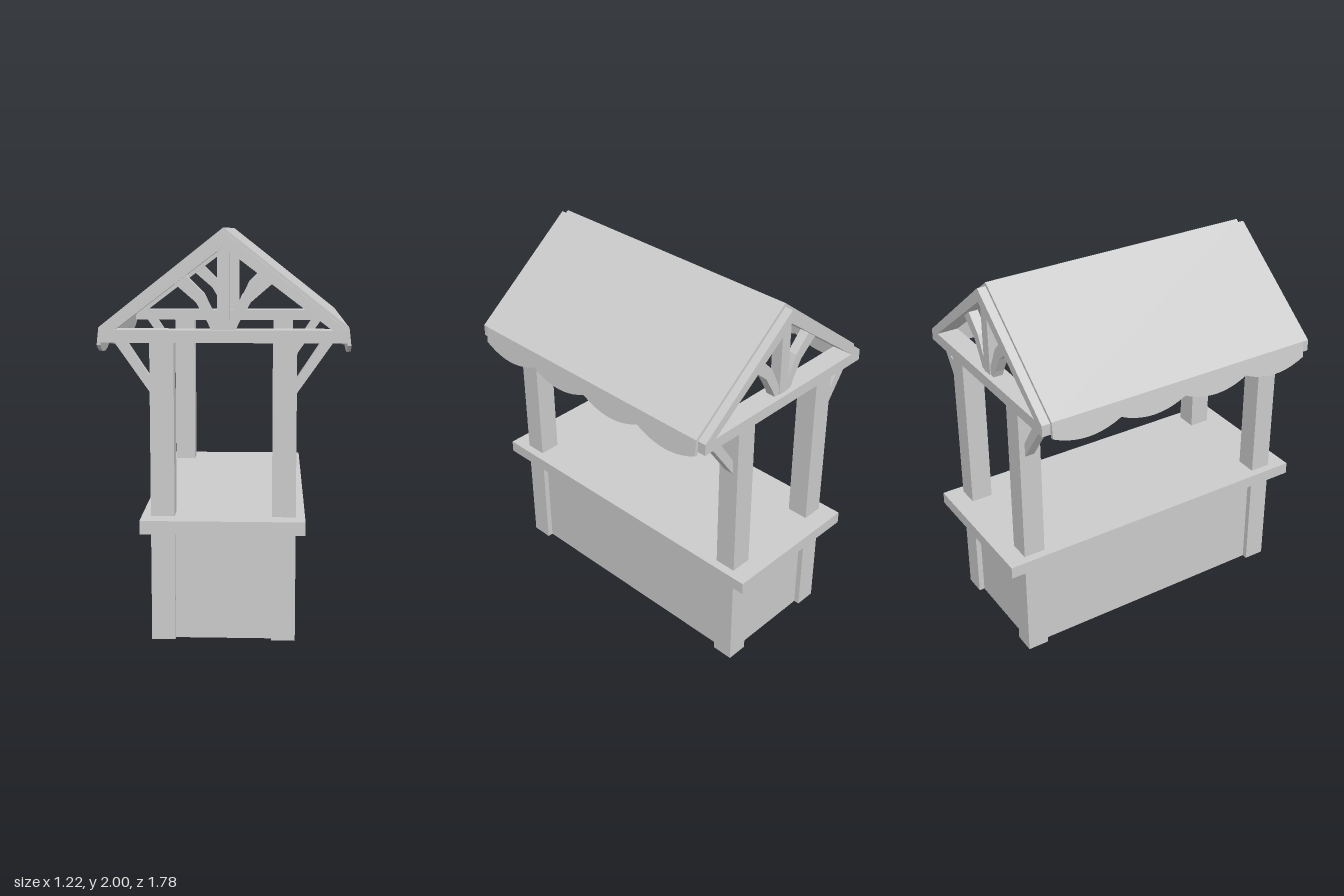
import * as THREE from 'three';

const grey = new THREE.MeshStandardMaterial({ color: 0xcccccc });

function add(parent, name, geometry) {
  const mesh = new THREE.Mesh(geometry, grey);
  mesh.name = name;
  parent.add(mesh);
  return mesh;
}

function box(parent, name, w, h, d, x, y, z) {
  const mesh = add(parent, name, new THREE.BoxGeometry(w, h, d));
  mesh.position.set(x, y, z);
  return mesh;
}

const outline = (points) => new THREE.Shape(points.map(([x, y]) => new THREE.Vector2(x, y)));

// Extrude a front-view outline from z0 to z1
function slab(shape, z0, z1) {
  const g = new THREE.ExtrudeGeometry(shape, { depth: z1 - z0, bevelEnabled: false, curveSegments: 10 });
  return g.translate(0, 0, z0);
}

const mirrored = (points, side) => points.map(([x, y]) => [x * side, y]);

// One gable end: posts, triangular frame, king post, struts and braces
function createGable() {
  const gable = new THREE.Group();

  const frame = outline([[-0.585, 1.46], [0.585, 1.46], [0.585, 1.52], [0, 1.98], [-0.585, 1.52]]);
  frame.holes.push(outline([[-0.515, 1.52], [0, 1.91], [0.515, 1.52]]));
  add(gable, 'gableFrame', slab(frame, 0.675, 0.79));

  box(gable, 'kingPost', 0.06, 0.41, 0.06, 0, 1.715, 0.735);

  const strut = [[0.02, 1.51], [0.055, 1.51], [0.075, 1.555], [0.13, 1.65], [0.24, 1.745],
    [0.185, 1.785], [0.09, 1.69], [0.032, 1.57]];
  const brace = [[0.345, 1.21], [0.52, 1.46], [0.46, 1.46], [0.345, 1.285]];
  for (const side of [-1, 1]) {
    box(gable, 'post', 0.115, 1.46, 0.115, side * 0.2925, 0.73, 0.7325);
    add(gable, 'curvedStrut', slab(outline(mirrored(strut, side)), 0.71, 0.76));
    add(gable, 'cornerBrace', slab(outline(mirrored(brace, side)), 0.71, 0.76));
  }
  return gable;
}

// Scalloped strip hanging from an eave
function createValance() {
  const half = 0.745, count = 4, step = (2 * half) / count;
  const shape = new THREE.Shape();
  shape.moveTo(half, 0);
  shape.lineTo(-half, 0);
  shape.lineTo(-half, -0.085);
  for (let i = 0; i < count; i++) {
    const u = -half + i * step;
    shape.quadraticCurveTo(u + step / 2, -0.175, u + step, -0.085);
  }
  shape.closePath();
  return slab(shape, -0.018, 0).rotateY(Math.PI / 2).rotateZ(0.115).translate(0.597, 1.53, 0);
}

export function createModel() {
  const stall = new THREE.Group();
  stall.name = 'marketStall';

  // Base and counter
  box(stall, 'basePanels', 0.64, 0.56, 1.52, 0, 0.28, 0);
  box(stall, 'counter', 0.79, 0.065, 1.78, 0, 0.5875, 0);

  // Gable ends
  for (const [name, turn] of [['frontGable', 0], ['backGable', Math.PI]]) {
    const gable = createGable();
    gable.name = name;
    gable.rotation.y = turn;
    stall.add(gable);
  }

  // Roof cover with a valance on both eaves
  const cover = outline([[0, 2], [-0.597, 1.53], [-0.58, 1.515], [0, 1.975], [0.58, 1.515], [0.597, 1.53]]);
  add(stall, 'roofCover', slab(cover, -0.745, 0.745));
  for (const [name, turn] of [['leftValance', 0], ['rightValance', Math.PI]]) {
    add(stall, name, createValance()).rotation.y = turn;
  }
  return stall;
}
